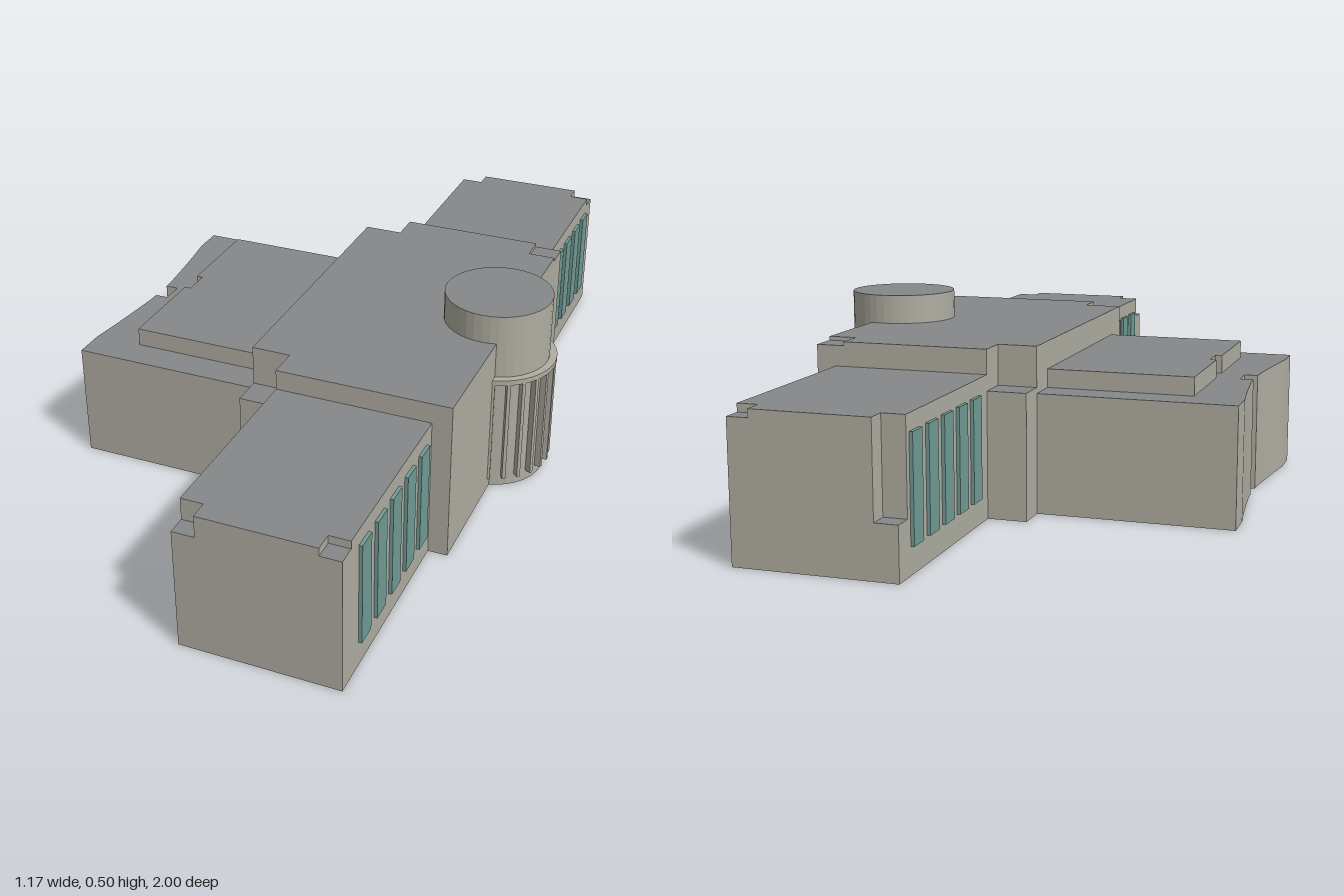
import * as THREE from 'three';

export function createModel() {
  const model = new THREE.Group();
  const wall = new THREE.MeshStandardMaterial({ color: 0xb0aea2 });
  wall.name = 'stone wall';
  const roof = new THREE.MeshStandardMaterial({ color: 0x85878a });
  roof.name = 'grey roof';
  const glass = new THREE.MeshStandardMaterial({ color: 0x729c96 });
  glass.name = 'teal glass';

  const add = (parent, name, geometry, material) => {
    const mesh = new THREE.Mesh(geometry, material);
    mesh.name = name;
    parent.add(mesh);
    return mesh;
  };
  const group = (name) => {
    const g = new THREE.Group();
    g.name = name;
    model.add(g);
    return g;
  };

  // Upright prism from a plan of [x, z] points: wall sides, roof-coloured top
  const prism = (parent, name, plan, y0, y1) => {
    const shape = new THREE.Shape(plan.map(([x, z]) => new THREE.Vector2(x, -z)));
    const geo = new THREE.ExtrudeGeometry(shape, { depth: y1 - y0, bevelEnabled: false });
    const caps = geo.groups[0].count;
    const total = geo.attributes.position.count;
    geo.clearGroups();
    geo.addGroup(0, caps / 2, 0);
    geo.addGroup(caps / 2, caps / 2, 1);
    geo.addGroup(caps, total - caps, 0);
    geo.rotateX(-Math.PI / 2);
    geo.translate(0, y0, 0);
    return add(parent, name, geo, [wall, roof]);
  };
  const rect = (x0, x1, z0, z1) => [[x0, z0], [x1, z0], [x1, z1], [x0, z1]];

  // Central hall: low blocks at the two rear corners, shallow step at one roof corner
  const hall = group('centralHall');
  const X0 = -0.087, X1 = 0.462, XW = 0.013, Z = 0.46, ZB = 0.38;
  prism(hall, 'hallBase', rect(X0, X1, -Z, Z), 0, 0.318);
  prism(hall, 'hallUpper', [
    [X0, -ZB], [XW, -ZB], [XW, -Z], [X1, -Z], [X1, Z], [XW, Z], [XW, ZB], [X0, ZB],
  ], 0.318, 0.41);
  prism(hall, 'hallParapet', [
    [X0, -ZB], [XW, -ZB], [XW, -Z], [0.39, -Z], [0.39, -0.39], [X1, -0.39],
    [X1, Z], [XW, Z], [XW, ZB], [X0, ZB],
  ], 0.41, 0.42);

  // Rear block with concave facade and central slot
  const rear = group('rearBlock');
  const curve = [[-0.585, 0.38], [-0.585, 0.3], [-0.574, 0.22], [-0.565, 0.14],
    [-0.558, 0.07], [-0.556, 0.03], [-0.522, 0.03]];
  const mirrored = curve.map(([x, z]) => [x, -z]).reverse();
  prism(rear, 'concaveBlock', [[X0, 0.38], ...curve, ...mirrored, [X0, -0.38]], 0, 0.303);
  prism(rear, 'raisedRoof', [
    [X0, 0.295], [-0.46, 0.295], [-0.46, 0.035], [-0.443, 0.035],
    [-0.443, -0.035], [-0.46, -0.035], [-0.46, -0.295], [X0, -0.295],
  ], 0.303, 0.35);

  // Two wings with stepped outer corners and five windows on each long side
  const WX = 0.412, NX0 = 0.07, NX1 = 0.36;
  const buildWing = (name, s, ledge, height, firstWindow, windowTop) => {
    const wing = group(name);
    const a = s * Z, n = s * 0.952, e = s;
    prism(wing, 'wingBase', rect(XW, WX, a, e), 0, ledge);
    prism(wing, 'wingUpper',
      [[XW, a], [XW, n], [NX0, n], [NX0, e], [WX, e], [WX, a]], ledge, height - 0.02);
    prism(wing, 'wingTop',
      [[XW, a], [XW, n], [NX0, n], [NX0, e], [NX1, e], [NX1, n], [WX, n], [WX, a]],
      height - 0.02, height);
    for (const x of [XW - 0.004, WX + 0.004]) {
      for (let i = 0; i < 5; i++) {
        const pane = new THREE.BoxGeometry(0.009, windowTop - 0.065, 0.054);
        add(wing, 'window', pane, glass)
          .position.set(x, (windowTop + 0.065) / 2, s * (firstWindow + i * 0.0908));
      }
    }
  };
  buildWing('frontWing', 1, 0.312, 0.368, 0.519, 0.328);
  buildWing('backWing', -1, 0.13, 0.358, 0.546, 0.318);

  // Round tower with collar and vertical fins
  const tower = group('tower');
  tower.position.x = 0.424;
  const R = 0.138;
  const flatCyl = (r, h) => new THREE.CylinderGeometry(r, r, h, 40).toNonIndexed();
  const drum = flatCyl(R, 0.495);
  drum.computeVertexNormals();
  add(tower, 'towerDrum', drum, [wall, roof, wall]).position.y = 0.2475;
  const collar = flatCyl(0.157, 0.014);
  collar.computeVertexNormals();
  add(tower, 'towerCollar', collar, wall).position.y = 0.318;
  for (let i = -5; i <= 5; i++) {
    const angle = i * Math.PI / 12;
    const fin = add(tower, 'towerFin', new THREE.BoxGeometry(0.022, 0.283, 0.009), wall);
    fin.position.set(Math.cos(angle) * 0.144, 0.17, Math.sin(angle) * 0.144);
    fin.rotation.y = -angle;
  }
  return model;
}
